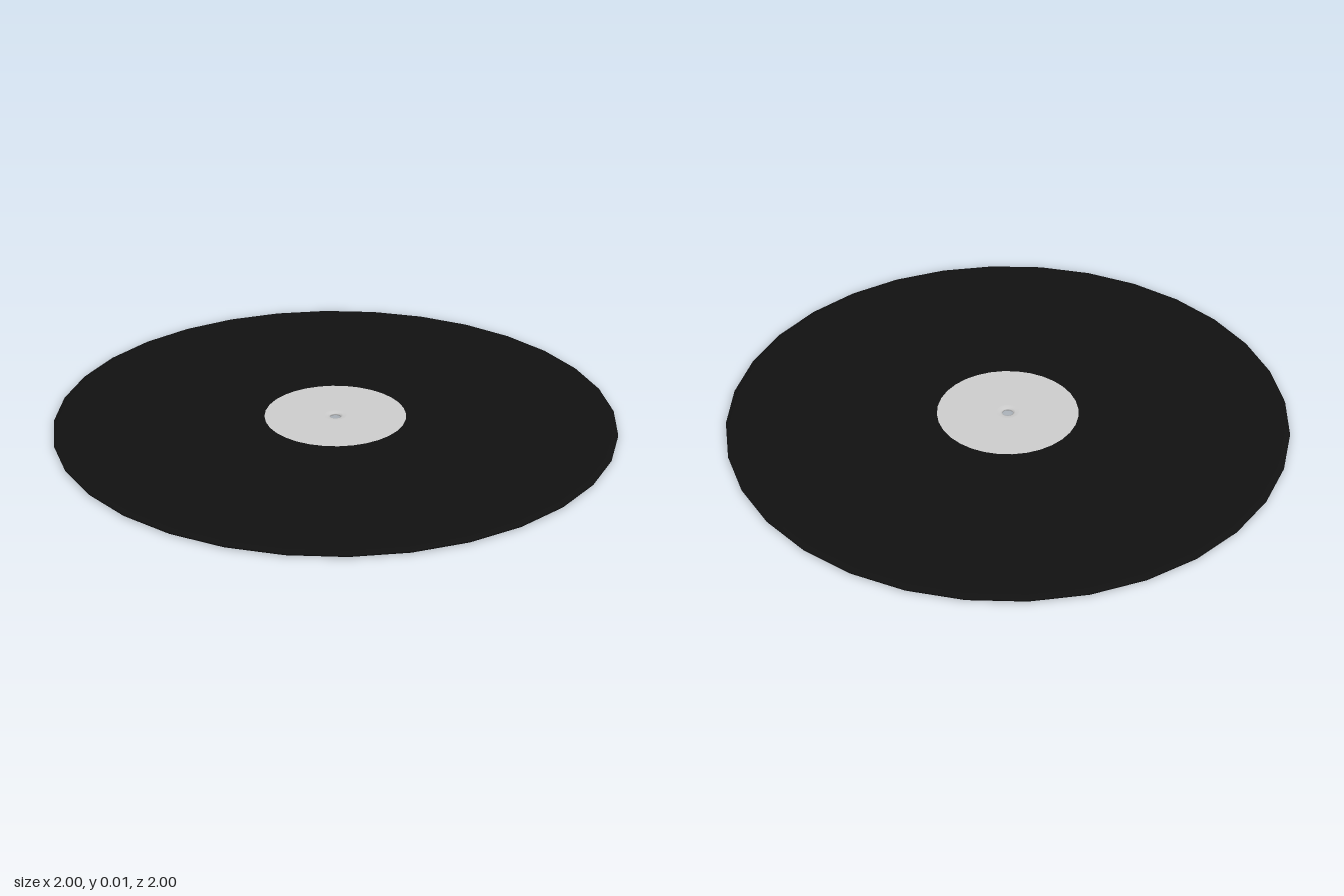
import * as THREE from 'three';

const SIDES = 32;
const H = 0.014; // thickness
const HOLE = 0.02; // spindle hole radius
const LIP = 0.04; // where the dished centre meets the flat label

const vinyl = new THREE.MeshStandardMaterial({ color: 0x111111 });
const paper = new THREE.MeshStandardMaterial({ color: 0xcccccc });

// One band of the turned profile; points are [radius, height]
function band(name, material, points) {
  const profile = points.map(([r, y]) => new THREE.Vector2(r, y));
  const mesh = new THREE.Mesh(new THREE.LatheGeometry(profile, SIDES), material);
  mesh.name = name;
  return mesh;
}

export function createModel() {
  const group = new THREE.Group();
  group.name = 'record';

  // Playing surfaces, flat from the label edge to the rim
  group.add(band('bottomSurface', vinyl, [[0.335, 0], [0.98, 0]]));
  group.add(band('topSurface', vinyl, [[0.98, H], [0.253, H]]));

  // Thin bevelled outer rim
  group.add(band('rim', vinyl, [[0.98, 0], [1, 0.004], [1, H - 0.004], [0.98, H]]));

  // Labels: small on top, larger underneath
  group.add(band('topLabel', paper, [[0.253, H], [LIP, H]]));
  group.add(band('bottomLabel', paper, [[LIP, 0], [0.335, 0]]));

  // Softly rounded spindle hole
  group.add(band('spindleHole', paper, [
    [LIP, H], [0.027, H - 0.001], [HOLE, H - 0.004],
    [HOLE, 0.004], [0.027, 0.001], [LIP, 0],
  ]));

  return group;
}
